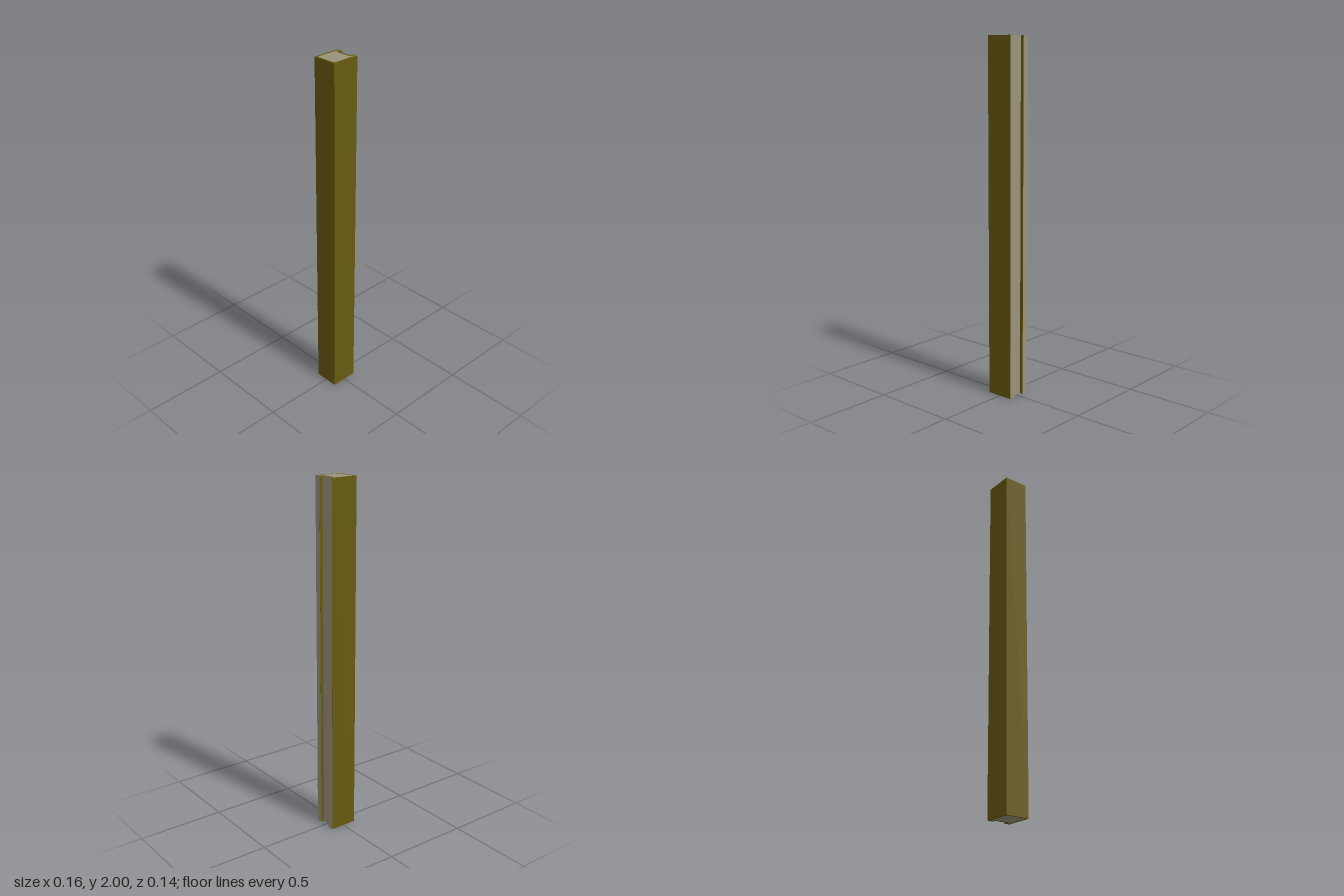
import * as THREE from 'three';

const HEIGHT = 2, WALL = 0.0118;
const HALF_X = 0.0793, HALF_Z = 0.0704;     // outer size
const GROOVE_X = 0.0597, GROOVE_Z = 0.0352; // groove floor and half width

// Channel outline with a groove in its +x side, shrunk inwards by t
function outline(t) {
  const x = HALF_X - t, z = HALF_Z - t, gx = GROOVE_X - t, gz = GROOVE_Z + t;
  return [[-x, -z], [x, -z], [x, -gz], [gx, -gz], [gx, gz], [x, gz], [x, z], [-x, z]]
    .map(([a, b]) => new THREE.Vector2(a, b));
}

// Extrude a plan shape upwards from the ground
function upright(name, shape, material) {
  const geometry = new THREE.ExtrudeGeometry(shape, { depth: HEIGHT, bevelEnabled: false });
  geometry.rotateX(-Math.PI / 2);
  const mesh = new THREE.Mesh(geometry, material);
  mesh.name = name;
  return mesh;
}

export function createModel() {
  const group = new THREE.Group();
  group.name = 'groovedPost';
  const olive = new THREE.MeshStandardMaterial({ color: 0x665a10 });
  const grey = new THREE.MeshStandardMaterial({ color: 0x99927a });

  // Outer skin following the grooved outline
  const skin = new THREE.Shape(outline(0));
  skin.holes.push(new THREE.Path(outline(WALL).reverse()));
  group.add(upright('outerSkin', skin, olive));

  // Solid core, flush with both ends
  group.add(upright('core', new THREE.Shape(outline(WALL)), grey));

  // Grey facings on the two lips and the groove floor
  const lip = HALF_Z - GROOVE_Z, lipZ = (HALF_Z + GROOVE_Z) / 2;
  const facings = [
    ['frontLipFacing', HALF_X, lipZ, lip],
    ['backLipFacing', HALF_X, -lipZ, lip],
    ['grooveFloorFacing', GROOVE_X, 0, 2 * GROOVE_Z],
  ];
  for (const [name, x, z, width] of facings) {
    const facing = new THREE.Mesh(new THREE.PlaneGeometry(width, HEIGHT), grey);
    facing.name = name;
    facing.rotation.y = Math.PI / 2;
    facing.position.set(x + 0.0004, HEIGHT / 2, z);
    group.add(facing);
  }
  return group;
}
